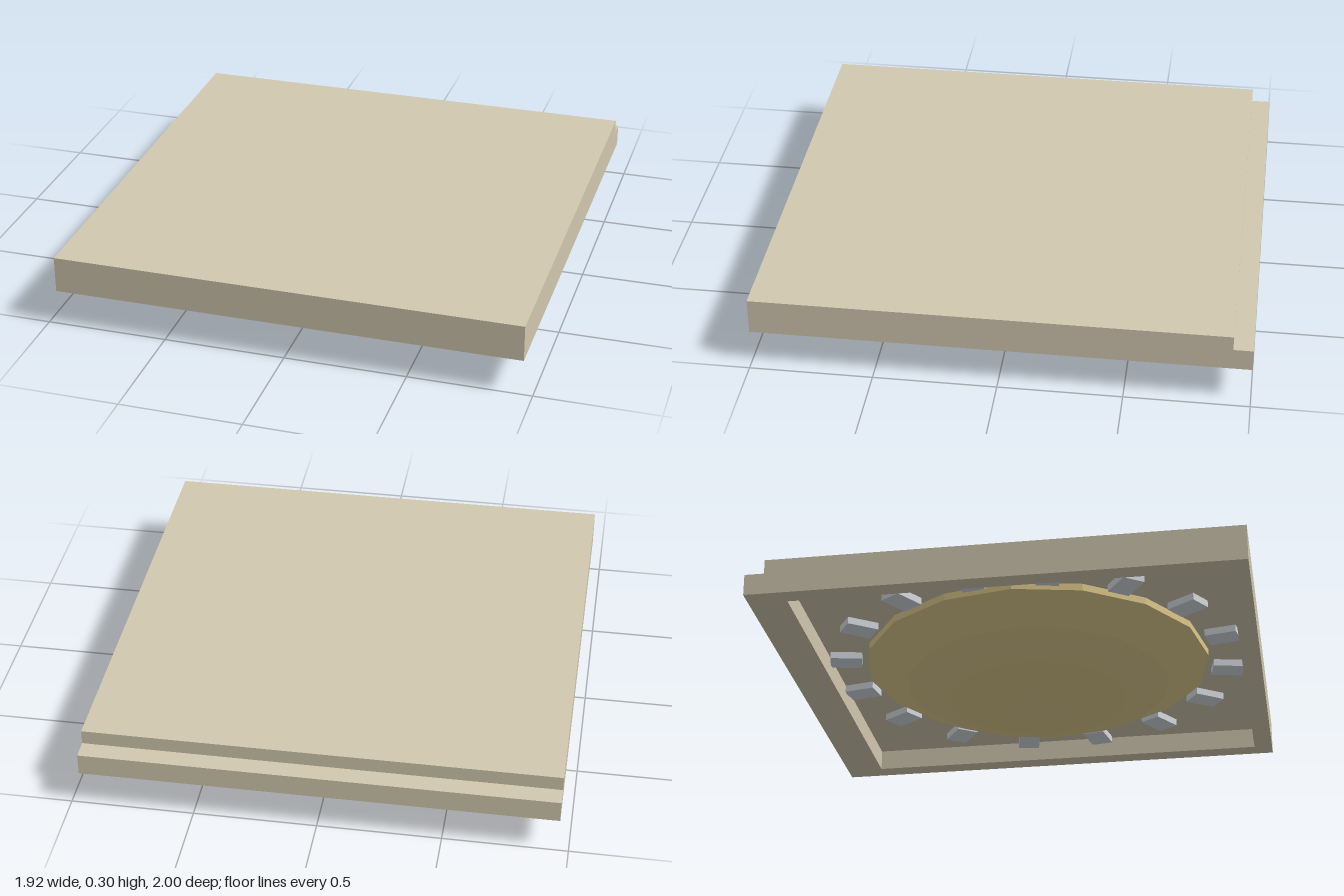
import * as THREE from 'three';

const shell = new THREE.MeshStandardMaterial({ color: 0xd2c8b0 });
const glass = new THREE.MeshStandardMaterial({ color: 0xdcc88c, flatShading: true, side: THREE.DoubleSide });
const metal = new THREE.MeshStandardMaterial({ color: 0xd5dae0 });

function add(parent, name, geometry, material) {
  const mesh = new THREE.Mesh(geometry, material);
  mesh.name = name;
  parent.add(mesh);
  return mesh;
}

// Traces a rectangle in x and z
function rect(path, x, z0, z1) {
  path.moveTo(-x, z0);
  path.lineTo(x, z0);
  path.lineTo(x, z1);
  path.lineTo(-x, z1);
  path.closePath();
  return path;
}

export function createModel() {
  const group = new THREE.Group();
  group.name = 'ceilingPanelLight';

  // Top slab, set back to leave the step along the rear edge
  add(group, 'topSlab', new THREE.BoxGeometry(1.92, 0.06, 1.92), shell).position.set(0, 0.27, 0.04);

  // Frame below the slab, open around the lamp
  const outline = rect(new THREE.Shape(), 0.96, -1, 1);
  outline.holes.push(rect(new THREE.Path(), 0.88, -0.84, 0.92));
  const frame = new THREE.ExtrudeGeometry(outline, { depth: 0.09, bevelEnabled: false });
  frame.rotateX(Math.PI / 2).translate(0, 0.24, 0);
  add(group, 'frame', frame, shell);

  const lamp = new THREE.Group();
  lamp.name = 'lamp';
  lamp.position.z = 0.04;
  group.add(lamp);

  // Dome: a shallow spherical cap with a short upright rim
  const radius = 0.737, drop = 0.21;
  const sphere = (radius * radius + drop * drop) / (2 * drop);
  const profile = [];
  for (let i = 0; i <= 4; i++) {
    const a = Math.asin(radius / sphere) * i / 4;
    profile.push(new THREE.Vector2(sphere * Math.sin(a), sphere * (1 - Math.cos(a))));
  }
  profile.push(new THREE.Vector2(radius, 0.24));
  add(lamp, 'dome', new THREE.LatheGeometry(profile, 16), glass);

  // Ring of small clips around the dome
  const clipGeometry = new THREE.BoxGeometry(0.135, 0.03, 0.095);
  for (let i = 0; i < 16; i++) {
    const a = (i + 0.5) * Math.PI / 8;
    const clip = add(lamp, 'clip', clipGeometry, metal);
    clip.position.set(0.825 * Math.cos(a), 0.225, 0.825 * Math.sin(a));
    clip.rotation.y = -a;
  }
  return group;
}
